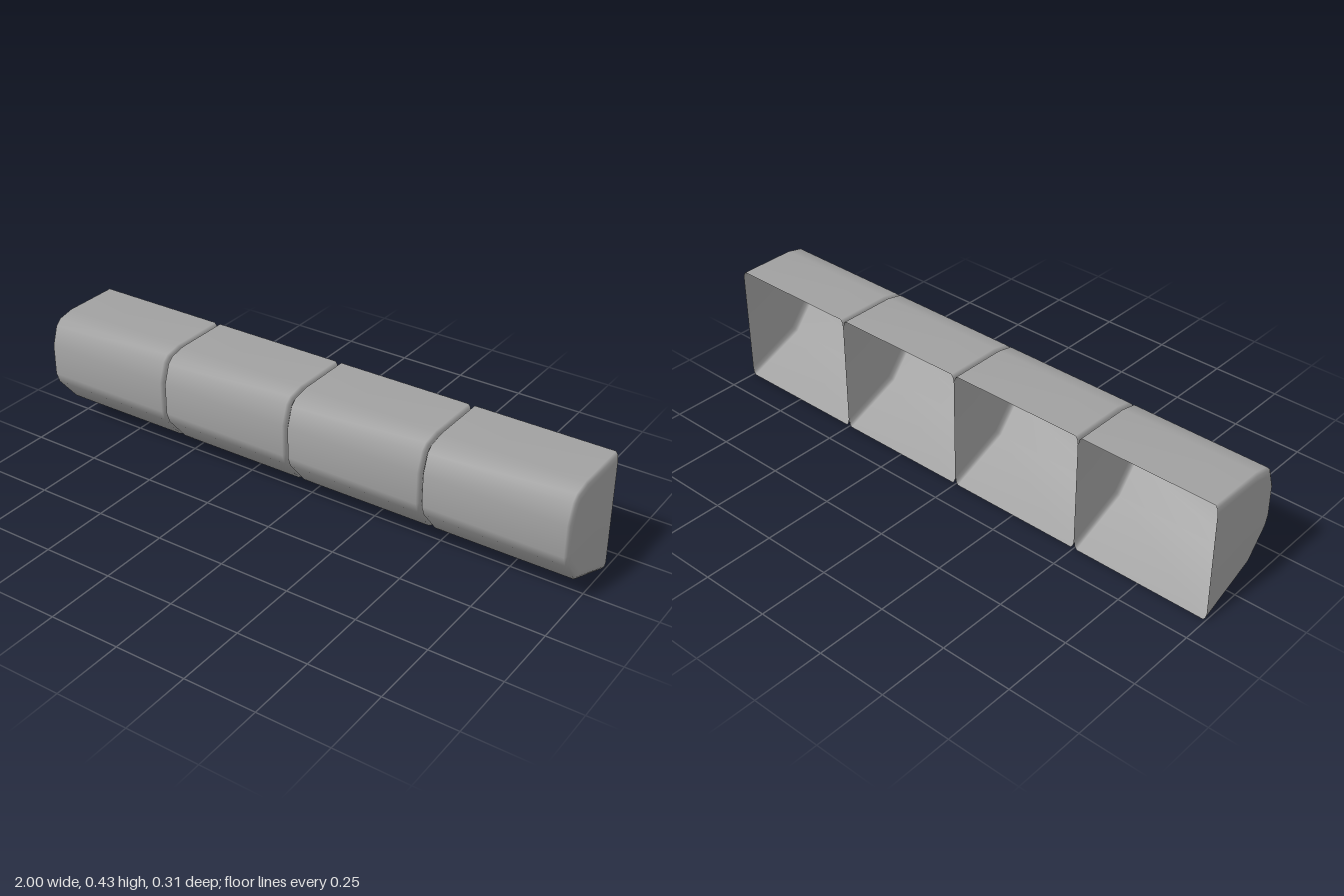
import * as THREE from 'three';

// Side profile as [z, y], from top back round the front to bottom back
const PROFILE = [
  [-0.153, 0.43], [0.05, 0.43], [0.108, 0.418], [0.13, 0.398], [0.153, 0.33],
  [0.153, 0.22], [0.14, 0.183], [0.063, 0.09], [-0.153, 0.002],
];

// Profile moved inwards by d, with both ends kept on the open back plane
function insetProfile(d) {
  const n = PROFILE.length;
  const edgeNormal = (i) => {
    const [a, b] = [PROFILE[i], PROFILE[i + 1]];
    return new THREE.Vector2(b[1] - a[1], a[0] - b[0]).normalize();
  };
  return PROFILE.map(([z, y], i) => {
    if (i === 0) return [z, y - d];
    if (i === n - 1) return [z, y + d];
    const n0 = edgeNormal(i - 1), n1 = edgeNormal(i);
    const m = n0.clone().add(n1).multiplyScalar(d / (1 + n0.dot(n1)));
    return [z + m.x, y + m.y];
  });
}

// Hollow section: rings along x with softened ends, closed sides, open back
function sectionGeometry(half) {
  const ends = [[half, 0.028], [half - 0.003, 0.01], [half - 0.01, 0]];
  const rings = [
    ...ends.map(([x, d]) => [-x, d]),
    ...ends.slice().reverse(),
  ];
  const n = PROFILE.length, pos = [], index = [];
  for (const [x, d] of rings) {
    for (const [z, y] of insetProfile(d)) pos.push(x, y, z);
  }
  for (let r = 0; r < rings.length - 1; r++) {
    for (let i = 0; i < n - 1; i++) {
      const a = r * n + i, b = a + n;
      index.push(a, a + 1, b, b, a + 1, b + 1);
    }
  }
  // side caps, fanned from the middle of the back edge
  const left = pos.length / 3, last = (rings.length - 1) * n;
  pos.push(-half, 0.216, -0.153, half, 0.216, -0.153);
  for (let i = 0; i < n - 1; i++) {
    index.push(left, i + 1, i);
    index.push(left + 1, last + i, last + i + 1);
  }
  const geo = new THREE.BufferGeometry();
  geo.setAttribute('position', new THREE.Float32BufferAttribute(pos, 3));
  geo.setIndex(index);
  geo.computeVertexNormals();
  return geo;
}

export function createModel() {
  const group = new THREE.Group();
  group.name = 'segmentedCover';
  const grey = new THREE.MeshStandardMaterial({ color: 0xa0a0a0, side: THREE.DoubleSide });
  grey.name = 'grey';

  // four equal sections side by side
  const geo = sectionGeometry(0.2495);
  for (let i = 0; i < 4; i++) {
    const section = new THREE.Mesh(geo, grey);
    section.name = `coverSection${i + 1}`;
    section.position.x = (i - 1.5) * 0.501;
    group.add(section);
  }
  return group;
}
